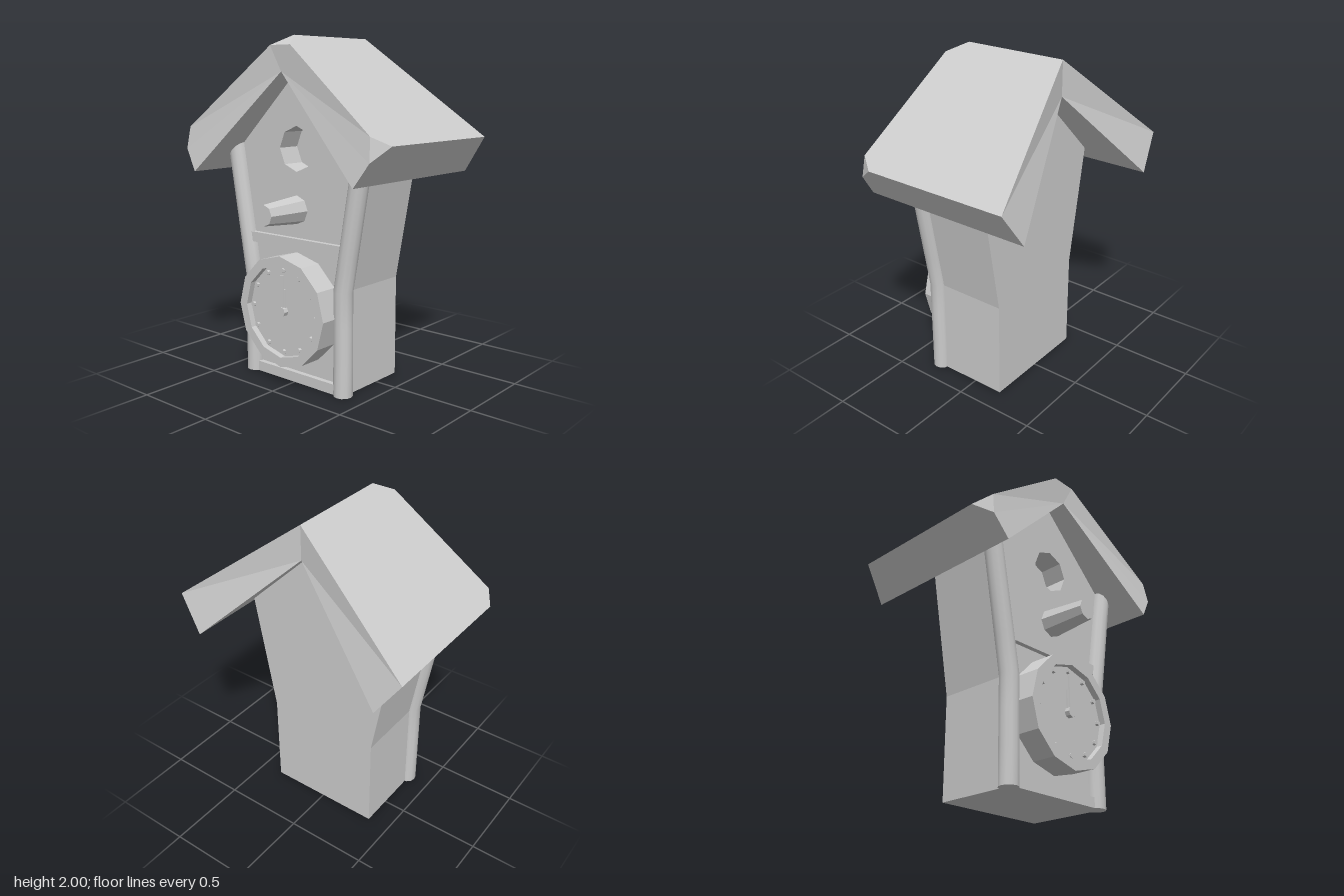
import * as THREE from 'three';
import { toCreasedNormals } from 'three/addons/utils/BufferGeometryUtils.js';

const grey = new THREE.MeshStandardMaterial({ color: 0xcccccc });
grey.name = 'plainGrey';

function add(parent, name, geometry, x = 0, y = 0, z = 0) {
  const mesh = new THREE.Mesh(geometry, grey);
  mesh.name = name;
  mesh.position.set(x, y, z);
  parent.add(mesh);
  return mesh;
}

const flat = (g) => { const n = g.toNonIndexed(); n.computeVertexNormals(); return n; };

// Corners of a regular polygon
function ring(radius, sides, cx = 0, cy = 0) {
  return Array.from({ length: sides }, (_, i) => {
    const a = (i / sides) * Math.PI * 2;
    return new THREE.Vector2(cx + radius * Math.cos(a), cy + radius * Math.sin(a));
  });
}

function slab(points, depth, hole) {
  const shape = new THREE.Shape(points);
  if (hole) shape.holes.push(new THREE.Path(hole));
  return new THREE.ExtrudeGeometry(shape, { depth, bevelEnabled: false });
}

// Flat faces given as corner loops, each with a mirror image across z = 0
function mirroredFaces(loops) {
  const pos = [];
  for (const loop of loops) {
    for (let i = 1; i < loop.length - 1; i++) {
      const [a, b, c] = [loop[0], loop[i], loop[i + 1]];
      pos.push(...a, ...b, ...c);
      for (const p of [a, c, b]) pos.push(p[0], p[1], -p[2]);
    }
  }
  const g = new THREE.BufferGeometry();
  g.setAttribute('position', new THREE.Float32BufferAttribute(pos, 3));
  g.computeVertexNormals();
  return g;
}

function roofGeometry() {
  // Plain end
  const ridge = [0.34, 2, 0], under = [0.34, 1.8, 0];
  const eave = [0.515, 1.43, 0.742], lip = [0.545, 1.22, 0.6];
  // Clock end with clipped ridge and eave corners
  const ridge2 = [-0.3, 2, 0], under2 = [-0.404, 1.8, 0];
  const mid = [-0.412, 1.943, 0], clip = [-0.412, 1.943, 0.075];
  const eave2 = [-0.39, 1.43, 0.742], clipTop = [-0.485, 1.48, 0.677];
  const clipLow = [-0.505, 1.35, 0.688], lip2 = [-0.525, 1.22, 0.6];
  return mirroredFaces([
    [ridge, ridge2, clip, clipTop, eave2, eave],
    [eave, eave2, clipLow, lip2, lip],
    [lip, lip2, under2, under],
    [under, ridge, eave, lip],
    [under2, lip2, clipLow, clipTop, clip, mid],
    [ridge2, mid, clip],
    [eave2, clipTop, clipLow],
  ]);
}

// Corner post: upright at first, then leaning outward
function postGeometry(side) {
  const g = new THREE.CylinderGeometry(0.056, 0.056, 1.4, 12, 7);
  g.translate(0, 0.7, 0);
  const p = g.attributes.position;
  for (let i = 0; i < p.count; i++) {
    p.setX(i, p.getX(i) + side * Math.max(0, p.getY(i) - 0.6) * 0.174);
  }
  return toCreasedNormals(g, Math.PI / 5);
}

function buildClock() {
  const clock = new THREE.Group();
  clock.name = 'clock';
  clock.position.set(0, 0.45, 0);
  add(clock, 'clockRim', slab(ring(0.325, 12), 0.16, ring(0.27, 12)), 0, 0, 0.272);
  add(clock, 'clockFace', slab(ring(0.29, 12), 0.11), 0, 0, 0.285);
  // Hour studs
  for (const [i, p] of ring(0.24, 12).entries()) {
    const stud = flat(new THREE.CylinderGeometry(0.014, 0.014, 0.02, 6).rotateX(Math.PI / 2));
    add(clock, 'hourStud' + (i + 1), stud, p.x, p.y, 0.403);
  }
  // Hands and pivot
  add(clock, 'minuteHand', new THREE.BoxGeometry(0.022, 0.21, 0.012), 0, 0.105, 0.413);
  add(clock, 'hourHand', new THREE.BoxGeometry(0.035, 0.13, 0.012), 0, 0.065, 0.402);
  add(clock, 'handPivot', flat(new THREE.CylinderGeometry(0.03, 0.03, 0.03, 8).rotateX(Math.PI / 2)), 0, 0, 0.41);
  return clock;
}

export function createModel() {
  const model = new THREE.Group();
  model.name = 'clockBirdhouse';
  add(model, 'roof', roofGeometry());

  // The house is laid out facing +z, then turned so the clock faces -x
  const house = new THREE.Group();
  house.name = 'house';
  house.rotation.y = -Math.PI / 2;
  model.add(house);

  const outline = [[-0.36, 0], [0.36, 0], [0.36, 0.6], [0.49, 1.335], [0, 1.81], [-0.49, 1.335], [-0.36, 0.6]]
    .map(([x, y]) => new THREE.Vector2(x, y));
  add(house, 'body', slab(outline, 0.33), 0, 0, -0.19);
  add(house, 'frontWall', slab(outline, 0.145, ring(0.13, 8, 0, 1.37)), 0, 0, 0.14);

  for (const side of [-1, 1]) {
    add(house, side < 0 ? 'rightPost' : 'leftPost', postGeometry(side), side * 0.346, 0, 0.286);
  }

  // Cross rails
  add(house, 'bottomRail', new THREE.BoxGeometry(0.68, 0.06, 0.06), 0, 0.03, 0.285);
  add(house, 'middleRail', new THREE.BoxGeometry(0.76, 0.06, 0.06), 0, 0.83, 0.285);

  // Perch
  const perch = flat(new THREE.CylinderGeometry(0.06, 0.083, 0.27, 8).rotateX(Math.PI / 2).rotateZ(0));
  add(house, 'perch', perch, 0, 1.023, 0.417);

  house.add(buildClock());
  return model;
}
